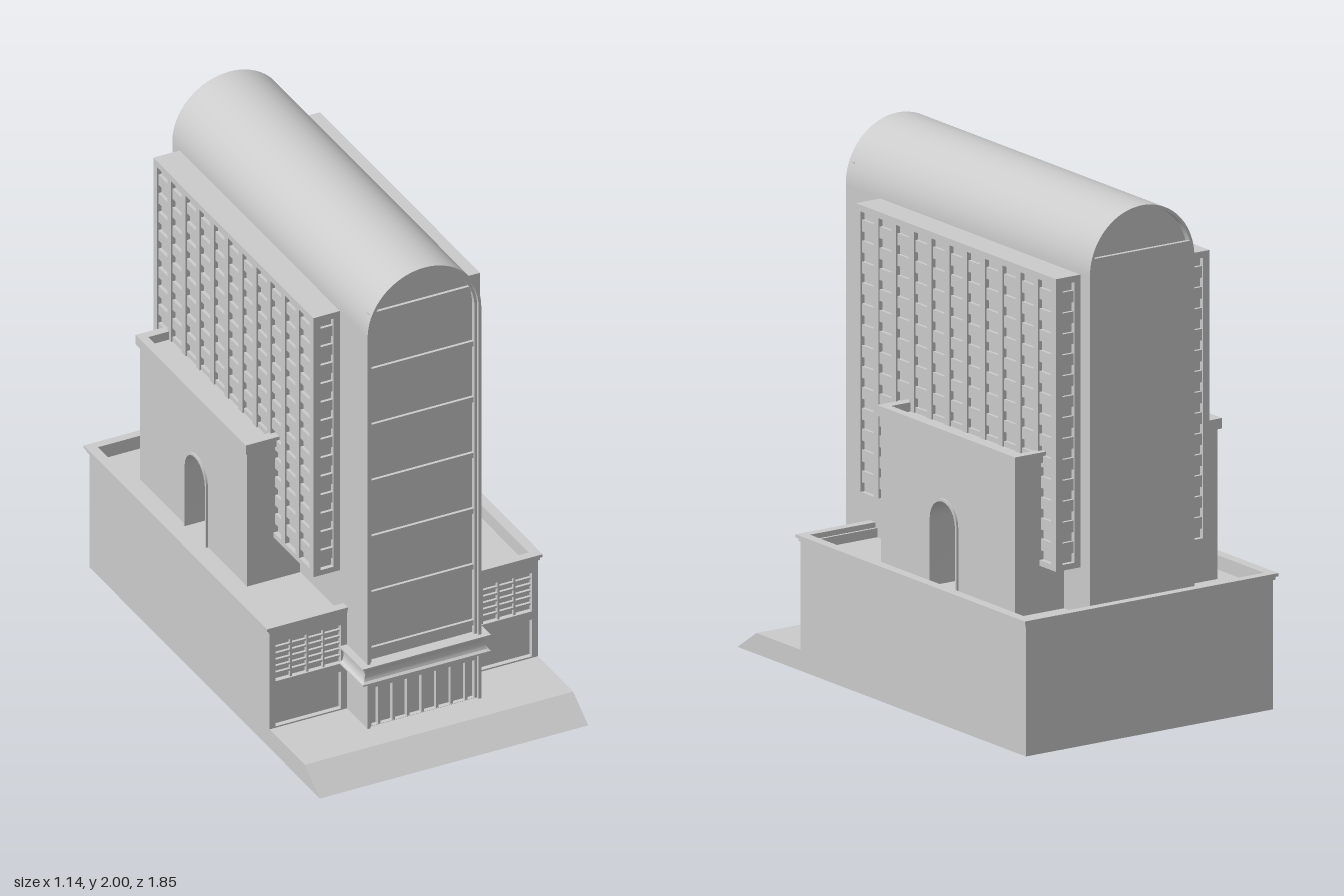
import * as THREE from 'three';
import { toCreasedNormals } from 'three/addons/utils/BufferGeometryUtils.js';

const mat = new THREE.MeshStandardMaterial({ color: 0xcccccc, side: THREE.DoubleSide });

export function createModel() {
  const model = new THREE.Group();

  const add = (name, geo, parent = model) => {
    const mesh = new THREE.Mesh(geo, mat);
    mesh.name = name;
    parent.add(mesh);
    return mesh;
  };
  const group = (name) => {
    const g = new THREE.Group();
    g.name = name;
    model.add(g);
    return g;
  };
  // Box given by its limits on each axis
  const box = (name, x0, x1, y0, y1, z0, z1, parent) =>
    add(name, new THREE.BoxGeometry(Math.abs(x1 - x0), y1 - y0, z1 - z0)
      .translate((x0 + x1) / 2, (y0 + y1) / 2, (z0 + z1) / 2), parent);
  const poly = (pts) => new THREE.Shape(pts.map(([a, b]) => new THREE.Vector2(a, b)));
  const rect = (a0, a1, b0, b1) => poly([[a0, b0], [a1, b0], [a1, b1], [a0, b1]]);
  const extrude = (shape, depth, curveSegments = 12) =>
    toCreasedNormals(new THREE.ExtrudeGeometry(shape, { depth, bevelEnabled: false, curveSegments }), 0.5);
  // Extrusions along z, along x (shape in z,y) and along y (shape in x,-z)
  const alongZ = (shape, z0, z1, seg) => extrude(shape, z1 - z0, seg).translate(0, 0, z0);
  const alongX = (shape, xa, xb, seg) =>
    extrude(shape, Math.abs(xb - xa), seg).rotateY(-Math.PI / 2).translate(Math.max(xa, xb), 0, 0);
  const alongY = (shape, y0, y1) => extrude(shape, y1 - y0).rotateX(-Math.PI / 2).translate(0, y0, 0);
  // Round-headed opening
  const arch = (c, r, y0, spring) => {
    const s = new THREE.Shape();
    s.moveTo(c - r, y0);
    s.lineTo(c + r, y0);
    s.lineTo(c + r, spring);
    s.absarc(c, spring, r, 0, Math.PI, false);
    s.closePath();
    return s;
  };
  // Plan ring, interrupted at the front where the tower passes through
  const T = 0.235;
  const cRing = (x, zb, zf, ix, izb, izf) => poly([
    [T, zf], [x, zf], [x, zb], [-x, zb], [-x, zf], [-T, zf],
    [-T, izf], [-ix, izf], [-ix, izb], [ix, izb], [ix, izf], [T, izf],
  ].map(([a, z]) => [a, -z]));

  // Podium: walls, cornice and roof deck
  add('podiumWalls', alongY(cRing(0.555, -0.905, 0.505, 0.53, -0.885, 0.49), 0, 0.5));
  add('podiumCorniceLower', alongY(cRing(0.562, -0.913, 0.529, 0.53, -0.885, 0.5), 0.495, 0.508));
  add('podiumCornice', alongY(cRing(0.57, -0.92, 0.535, 0.53, -0.885, 0.5), 0.508, 0.52));
  add('podiumDeck', alongY(cRing(0.53, -0.885, 0.5, T, -0.86, 0.49), 0.45, 0.465));

  // Front step with sloped edge, split around the tower foot
  const stepProfile = (zBack) => poly([[zBack, 0], [0.925, 0], [0.805, 0.08], [zBack, 0.08]]);
  const step = group('frontStep');
  add('stepCentre', alongX(stepProfile(0.66), -T, T), step);
  for (const s of [-1, 1]) add('stepSide', alongX(stepProfile(0.49), s * T, s * 0.555), step);

  // Front bays with louvred upper windows and plain lower windows
  for (const s of [-1, 1]) {
    const bay = group(s > 0 ? 'leftFrontBay' : 'rightFrontBay');
    const span = (a, b) => [Math.min(s * a, s * b), Math.max(s * a, s * b)];
    const face = rect(...span(T, 0.555), 0.08, 0.5);
    face.holes.push(rect(...span(0.26, 0.53), 0.28, 0.445), rect(...span(0.26, 0.53), 0.086, 0.245));
    add('bayFrame', alongZ(face, 0.495, 0.525), bay);
    for (let i = 1; i < 6; i++) {
      const y = 0.28 + i * 0.0275;
      box('louvre', ...span(0.26, 0.53), y - 0.004, y + 0.004, 0.5, 0.516, bay);
    }
    for (let i = 1; i < 4; i++) {
      const x = 0.26 + i * 0.0675;
      box('mullion', ...span(x - 0.004, x + 0.004), 0.28, 0.445, 0.5, 0.519, bay);
    }
  }

  // Tower: side walls with archway, barrel vault, back wall and gables
  const tower = group('tower');
  const SPRING = 1.765, ZF = 0.69, ZB = -0.86, AC = -0.245;
  for (const s of [-1, 1]) {
    const wall = rect(ZB, ZF, 0, SPRING);
    wall.holes.push(arch(AC, 0.08, 0.465, 0.725));
    add('towerSideWall', alongX(wall, s * 0.224, s * T, 6), tower);
  }
  const halfRing = (ro, ri) => {
    const s = new THREE.Shape();
    s.absarc(0, SPRING, ro, 0, Math.PI, false);
    s.absarc(0, SPRING, ri, Math.PI, 0, true);
    s.closePath();
    return s;
  };
  add('vault', alongZ(halfRing(T, 0.224), ZB, ZF, 32), tower);
  box('towerBackWall', -0.224, 0.224, 0, 1.83, ZB, -0.845, tower);
  add('backGable', alongZ(arch(0, 0.224, 1.7, SPRING), -0.83, -0.82, 32), tower);

  // Glazed tower front: inner frame, glass, floor rails
  const frame = arch(0, 0.224, 0.08, SPRING);
  frame.holes.push(arch(0, 0.213, 0.081, SPRING));
  add('frontFrame', alongZ(frame, 0.655, 0.678, 32), tower);
  add('frontGlass', alongZ(arch(0, 0.22, 0.08, SPRING), 0.645, 0.66, 32), tower);
  for (let i = 0; i < 7; i++) {
    const y = 1.842 - i * 0.24;
    box('floorRail', -0.22, 0.22, y - 0.011, y + 0.011, 0.655, 0.672, tower);
  }
  box('doorHead', -0.22, 0.22, 0.245, 0.285, 0.655, 0.68, tower);
  for (let i = -3; i <= 3; i++)
    box('doorMullion', i * 0.06 - 0.006, i * 0.06 + 0.006, 0.08, 0.25, 0.655, 0.676, tower);

  // Entrance canopy with a scooped edge
  const canopy = new THREE.BoxGeometry(0.53, 0.075, 0.185, 1, 12, 1);
  const p = canopy.attributes.position;
  for (let i = 0; i < p.count; i++) {
    const t = p.getY(i) / 0.0375;
    const inset = Math.abs(t) > 0.8 ? 0 : 0.004 + 0.012 * Math.sqrt(1 - (t / 0.8) ** 2);
    p.setX(i, p.getX(i) - Math.sign(p.getX(i)) * inset);
    if (p.getZ(i) > 0) p.setZ(i, p.getZ(i) - inset);
  }
  add('canopy', toCreasedNormals(canopy.translate(0, 0.318, 0.6175), 0.6));

  for (const s of [-1, 1]) {
    const side = s > 0 ? 'left' : 'right';

    // Window wing: core, spandrel bands and piers
    const wing = group(side + 'WindowWing');
    const Y0 = 0.645, Y1 = 1.76, Z0 = -0.8, Z1 = 0.47, CLEAR = 0.95;
    add('wingCore', alongX(poly([
      [-0.782, Y0], [-0.5, Y0], [-0.5, CLEAR], [0, CLEAR], [0, Y0], [0.452, Y0], [0.452, Y1 - 0.01], [-0.782, Y1 - 0.01],
    ]), s * T, s * 0.327), wing);
    const band = (name, y0, y1, out) => {
      const x = 0.345 - out, a = Z0 + out, b = Z1 - out;
      const runs = y0 < CLEAR ? [[a, -0.6], [0.1, b]] : [[a, b]];
      for (const [z0, z1] of runs) box(name, s * T, s * x, y0, y1, z0, z1, wing);
    };
    const rows = 14, pitch = (Y1 - Y0) / rows;
    for (let r = 1; r < rows; r++)
      band('spandrel', Y0 + r * pitch - 0.022, Y0 + r * pitch + 0.022, 0.006);
    band('wingFoot', Y0, Y0 + 0.022, 0);
    band('wingHead', Y1 - 0.025, Y1, 0);
    const cols = 11, dz = (Z1 - Z0 - 0.03) / cols;
    for (let c = 0; c <= cols; c++) {
      const z = Z0 + 0.015 + c * dz;
      const y0 = z > -0.67 && z < 0.13 ? CLEAR : Y0;
      box('pier', s * 0.315, s * 0.345, y0, Y1, z - 0.015, z + 0.015, wing);
    }
    for (const [z0, z1] of [[Z0, Z0 + 0.03], [Z1 - 0.03, Z1]])
      box('endPier', s * T, s * 0.262, Y0, Y1, z0, z1, wing);

    // Side block with archway, arch trim and parapet cap
    const block = group(side + 'SideBlock');
    const body = rect(-0.695, 0.155, 0.455, 1.045);
    body.holes.push(arch(AC, 0.08, 0.466, 0.725));
    add('blockBody', alongX(body, s * T, s * 0.455, 6), block);
    const trim = arch(AC, 0.09, 0.465, 0.725);
    trim.holes.push(arch(AC, 0.08, 0.466, 0.725));
    add('archTrim', alongX(trim, s * 0.45, s * 0.463, 6), block);
    box('capSide', s * 0.43, s * 0.465, 1.04, 1.08, -0.71, 0.165, block);
    box('capFront', s * T, s * 0.43, 1.04, 1.08, 0.125, 0.165, block);
    box('capBack', s * T, s * 0.43, 1.04, 1.08, -0.71, -0.675, block);
  }
  return model;
}
